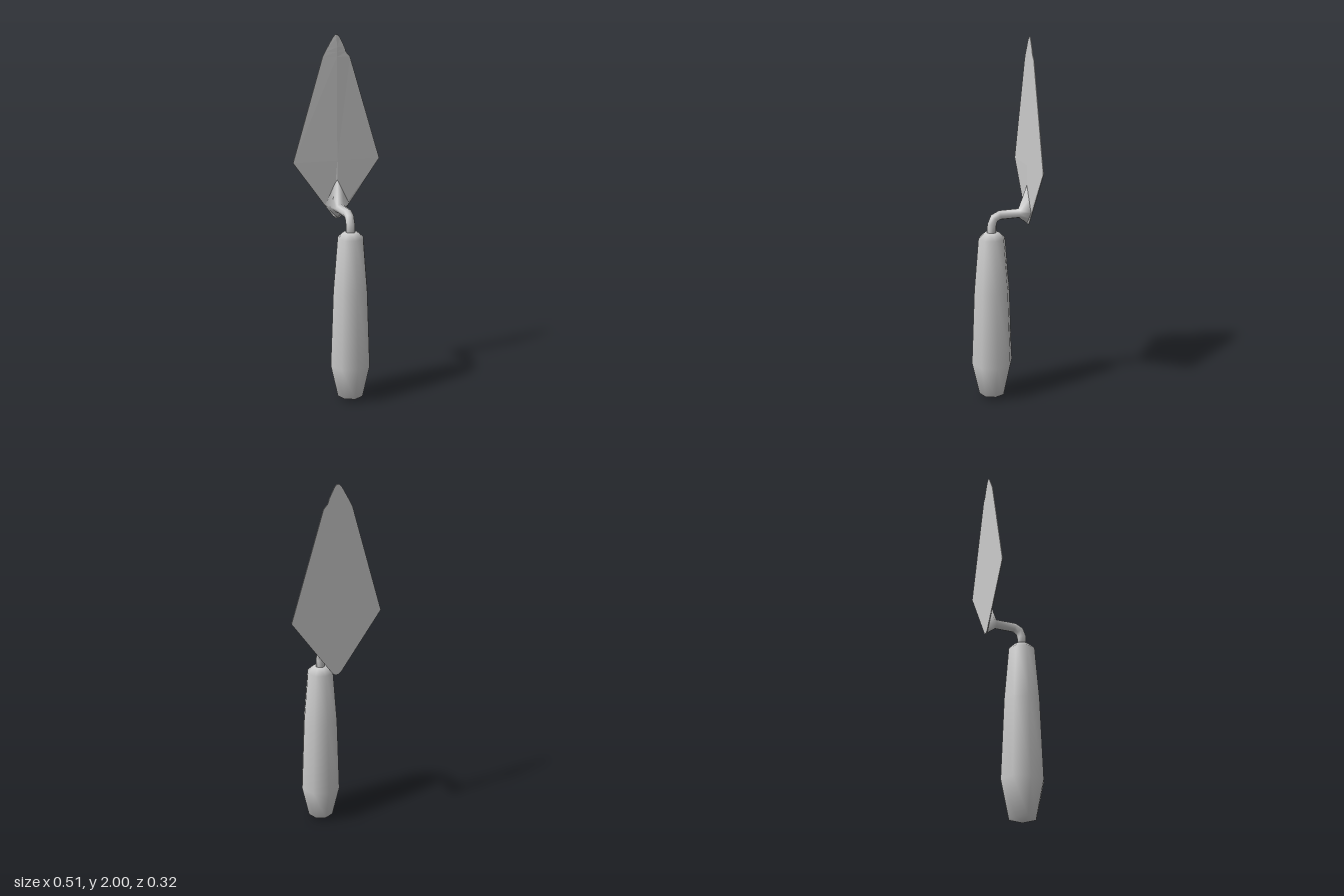
import * as THREE from 'three';

const material = (flat) => new THREE.MeshStandardMaterial({ color: 0xcccccc, flatShading: flat });

// Skin over equal-length rings of [x, y, z], closed by a fan at both ends
function loft(rings) {
  const n = rings[0].length, last = (rings.length - 1) * n, index = [];
  for (let i = 0; i < rings.length - 1; i++) {
    for (let j = 0; j < n; j++) {
      const a = i * n + j, b = i * n + (j + 1) % n;
      index.push(a, a + n, b, b, a + n, b + n);
    }
  }
  for (let j = 1; j < n - 1; j++) {
    index.push(0, j, j + 1, last, last + j + 1, last + j);
  }
  const geometry = new THREE.BufferGeometry();
  geometry.setAttribute('position', new THREE.Float32BufferAttribute(rings.flat(2), 3));
  geometry.setIndex(index);
  geometry.computeVertexNormals();
  return geometry;
}

export function createModel() {
  const group = new THREE.Group();
  const add = (name, geometry, flat) => {
    const mesh = new THREE.Mesh(geometry, material(flat));
    mesh.name = name;
    group.add(mesh);
    return mesh;
  };

  // Eight-sided grip, swelling towards the butt
  const profile = [[0, 0], [0.075, 0.02], [0.117, 0.21], [0.1, 0.64], [0.075, 0.935], [0.04, 0.967], [0, 0.967]];
  const handle = add('handle', new THREE.LatheGeometry(profile.map(([r, y]) => new THREE.Vector2(r, y)), 8), false);
  handle.position.z = 0.044;

  // Bent rod: ring centre y, z and tilt in degrees
  const sides = 8;
  const bend = [[0.94, 0.046, 0], [1.01, 0.043, 12], [1.045, 0.03, 45], [1.061, 0.0, 82], [1.064, -0.11, 90]];
  const rings = bend.map(([y, z, tilt]) => {
    const t = THREE.MathUtils.degToRad(tilt);
    return Array.from({ length: sides }, (_, j) => {
      const a = j / sides * Math.PI * 2, r = 0.026;
      const v = r * Math.sin(a);
      return [r * Math.cos(a), y + v * Math.sin(t), z + v * Math.cos(t)];
    });
  });
  // Rod flares into a kite-shaped foot on the blade
  const foot = [[0.072, 1.08], [0.036, 1.152], [0, 1.225], [-0.036, 1.152], [-0.072, 1.08], [-0.036, 1.04], [0, 1.003], [0.036, 1.04]];
  rings.push(foot.map(([x, y]) => [x, y, -0.157]));
  add('shank', loft(rings), false);

  // Thin blade with a shallow front ridge and a nicked tip: y, left edge, right edge, ridge z
  const rows = [
    [1.0, -0.01, 0.01, -0.156], [1.012, -0.025, 0.025, -0.154], [1.325, -0.253, 0.253, -0.154],
    [1.885, -0.08, 0.077, -0.157], [1.91, -0.067, 0.054, -0.157], [1.935, -0.052, 0.046, -0.157],
    [1.985, -0.022, 0.02, -0.158], [2.0, -0.007, 0.007, -0.158],
  ];
  add('blade', loft(rows.map(([y, l, r, ridge]) => [
    [r, y, -0.164], [r, y, -0.16], [0, y, ridge], [l, y, -0.16], [l, y, -0.164],
  ])), true);

  return group;
}
